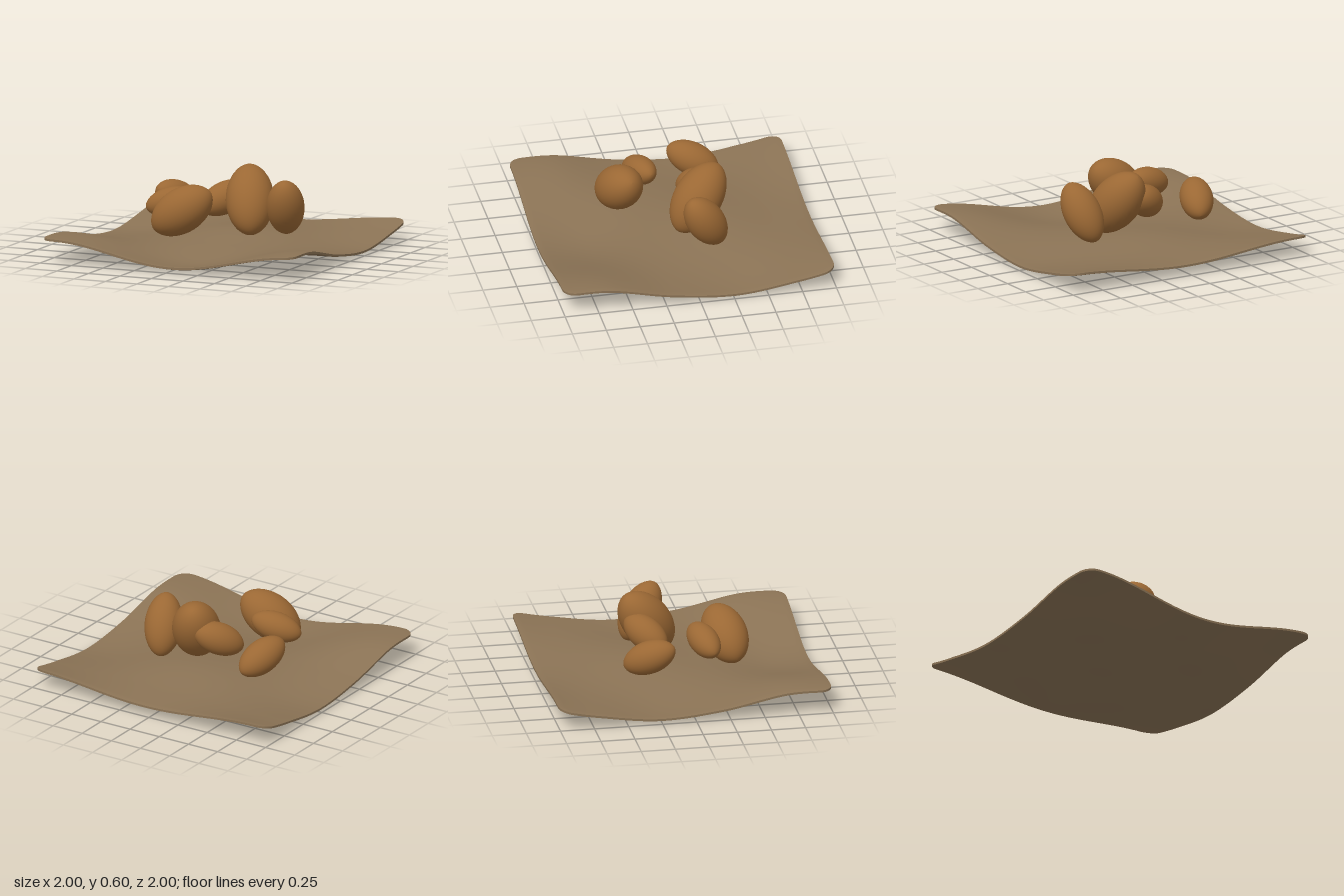
import * as THREE from 'three';

const clothMaterial = new THREE.MeshStandardMaterial({ color: 0x8b7355 });
clothMaterial.name = 'burlap brown';
const nutMaterial = new THREE.MeshStandardMaterial({ color: 0x9b6834 });
nutMaterial.name = 'nut brown';

// Smooth height curves along z: [z, mean height, wave strength]
const heights = [
  [-1, 0.13, 0.035], [-0.72, 0.108, 0], [-0.27, 0.095, -0.045],
  [0.2, 0.092, 0], [0.66, 0.108, 0.078], [1, 0.122, 0.068],
];
const curveOf = (i) => new THREE.SplineCurve(heights.map((h) => new THREE.Vector2(h[0], h[i])));

function sampler(curve) {
  const pts = curve.getPoints(200);
  return (z) => {
    let i = 1;
    while (i < pts.length - 1 && pts[i].x < z) i++;
    const t = (z - pts[i - 1].x) / (pts[i].x - pts[i - 1].x);
    return THREE.MathUtils.lerp(pts[i - 1].y, pts[i].y, t);
  };
}

// Thin wavy sheet with rounded corners and softened rim
function makeCloth() {
  const thick = 0.022, r = 0.1;
  const mean = sampler(curveOf(1)), wave = sampler(curveOf(2));
  const geo = new THREE.BoxGeometry(2, thick, 2, 80, 1, 80);
  const p = geo.attributes.position;
  for (let i = 0; i < p.count; i++) {
    let x = p.getX(i), z = p.getZ(i);
    const rim = Math.max(Math.abs(x), Math.abs(z));
    const u = Math.abs(x) - (1 - r), v = Math.abs(z) - (1 - r);
    if (u > 0 && v > 0) {
      const s = Math.max(u, v) / Math.hypot(u, v);
      x = Math.sign(x) * (1 - r + u * s);
      z = Math.sign(z) * (1 - r + v * s);
    }
    const top = mean(z) - wave(z) * Math.cos(3.3 * (x - 0.04));
    const inset = rim > 0.99 ? 0.3 : 0;
    const y = top - thick / 2 + p.getY(i) * (1 - inset);
    p.setXYZ(i, x, y, z);
  }
  geo.computeVertexNormals();
  const mesh = new THREE.Mesh(geo, clothMaterial);
  mesh.name = 'cloth';
  return mesh;
}

// Slightly pointed oval nut: half length a, radius b, long axis along dir
function makeNut(name, center, dir, a, b) {
  const profile = [];
  for (let i = 0; i <= 24; i++) {
    const t = (i / 24) * Math.PI;
    profile.push(new THREE.Vector2(b * Math.pow(Math.sin(t), 1.1), -a * Math.cos(t)));
  }
  profile[0].x = profile[24].x = 0;
  const mesh = new THREE.Mesh(new THREE.LatheGeometry(profile, 32), nutMaterial);
  mesh.name = name;
  mesh.position.set(...center);
  mesh.quaternion.setFromUnitVectors(new THREE.Vector3(0, 1, 0), new THREE.Vector3(...dir).normalize());
  return mesh;
}

export function createModel() {
  const model = new THREE.Group();
  model.name = 'nutsOnCloth';
  model.add(makeCloth());

  // Nuts: centre, long axis, half length, radius
  const nuts = [
    ['tallNut', [0.13, 0.37, -0.165], [-0.28, 0.76, -0.58], 0.285, 0.175],
    ['leftNut', [0.415, 0.335, -0.16], [0.2, 0.83, 0.5], 0.235, 0.137],
    ['middleNut', [-0.09, 0.36, -0.21], [0.68, 0.4, -0.6], 0.195, 0.117],
    ['backNut', [-0.49, 0.33, -0.255], [-0.33, 0.4, 0.85], 0.203, 0.12],
    ['smallNut', [-0.34, 0.375, 0.17], [0.92, 0.25, -0.28], 0.19, 0.105],
    ['frontNut', [-0.17, 0.35, 0.355], [0.81, 0.55, -0.22], 0.25, 0.162],
  ];
  for (const n of nuts) model.add(makeNut(...n));
  return model;
}
